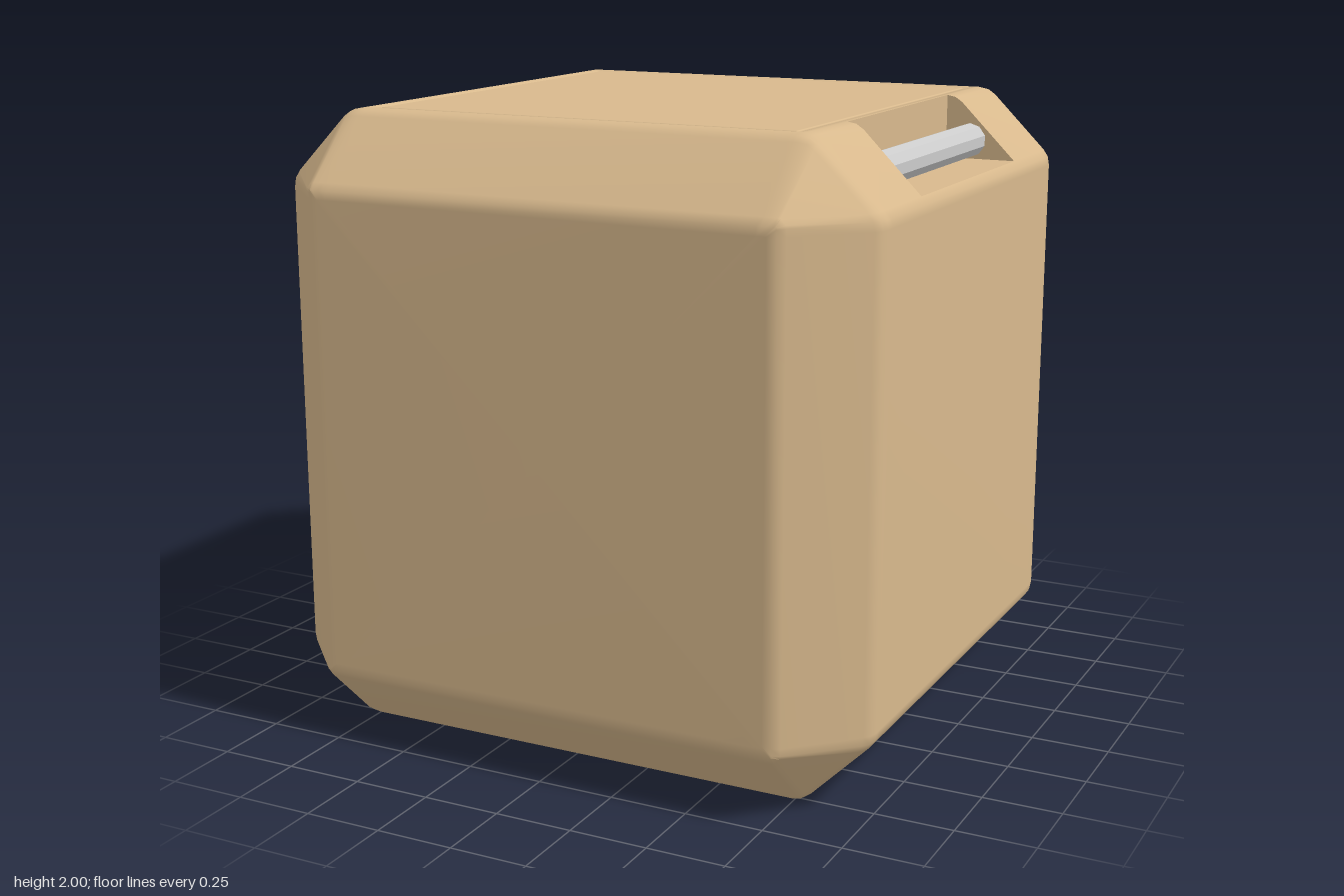
import * as THREE from 'three';
import { RoundedBoxGeometry } from 'three/addons/geometries/RoundedBoxGeometry.js';

const CHAMFER = 0.775;   // where the edge bevels begin
const SOFT = 0.03;       // softening of each bevel edge
const NOTCH_X = 0.745, NOTCH_Z = 0.432;
const RIM = 0.728, LID = 0.712;

const tan = new THREE.MeshStandardMaterial({ color: 0xd8b98d });
const metal = new THREE.MeshStandardMaterial({ color: 0xcccccc, flatShading: true });

// Softened bevel from the side (x = a) to the top (y = a)
function bevel(a) {
  const c = Math.min(CHAMFER, a);
  const q = SOFT * 0.7 * (a - c) / (1 - CHAMFER);
  const side = [a, c - SOFT], slope = [a - q, c + q];
  const mid = [0, 1].map(k => 0.25 * side[k] + 0.5 * [a, c][k] + 0.25 * slope[k]);
  const lower = [side, mid, slope];
  return [...lower, ...lower.map(([x, y]) => [y, x]).reverse()];
}

// Cross-section of the body: a = half size, recess 0..2 = depth stage of the lid opening
function section(a, notched, recess) {
  const top = bevel(a);
  const bottom = bevel(a).reverse().map(([x, y]) => [x, -y]);
  if (notched) top[3] = top[4] = [NOTCH_X, top[2][1]];
  const limit = top[5][0];
  const right = [
    ...bottom, ...top,
    [Math.min(RIM, limit), a],
    [Math.min(LID, limit), a - (recess > 0 ? 0.01 : 0)],
    [Math.min(LID, limit), a - [0, 0.01, 0.05][recess]],
  ];
  return [...right, ...right.map(([x, y]) => [-x, y]).reverse()];
}

// Area-weighted normals that stay sharp at edges steeper than the crease angle
function smoothFaces(tris, crease) {
  const faces = [], shared = new Map();
  const key = p => p.toArray().map(v => Math.round(v * 1e4)).join();
  for (const t of tris) {
    const n = t[1].clone().sub(t[0]).cross(t[2].clone().sub(t[0]));
    if (n.length() < 1e-7) continue;
    const face = { t, n, unit: n.clone().normalize() };
    faces.push(face);
    for (const p of t) shared.set(key(p), [...(shared.get(key(p)) || []), face]);
  }
  const pos = [], nor = [];
  for (const f of faces) for (const p of f.t) {
    const sum = new THREE.Vector3();
    for (const g of shared.get(key(p))) if (g.unit.dot(f.unit) > Math.cos(crease)) sum.add(g.n);
    pos.push(...p.toArray());
    nor.push(...sum.normalize().toArray());
  }
  const geo = new THREE.BufferGeometry();
  geo.setAttribute('position', new THREE.Float32BufferAttribute(pos, 3));
  geo.setAttribute('normal', new THREE.Float32BufferAttribute(nor, 3));
  return geo;
}

// Sections lofted from front to back; repeated z values make the notch and recess walls
function bodyGeometry() {
  const front = [
    ...bevel(1).map(([z, a]) => [z, a, false, 0]),
    [RIM, 1, false, 0], [LID, 1, false, 1], [LID, 1, false, 2],
    [NOTCH_Z, 1, false, 2], [NOTCH_Z, 1, true, 2],
  ];
  const stations = [...front, ...front.map(([z, ...rest]) => [-z, ...rest]).reverse()];
  const rings = stations.map(([z, a, notched, recess]) =>
    section(a, notched, recess).map(([x, y]) => new THREE.Vector3(x, y + 1, z)));
  const tris = [];
  const n = rings[0].length, last = rings[rings.length - 1];
  const frontCentre = new THREE.Vector3(0, 1, 1), backCentre = new THREE.Vector3(0, 1, -1);
  for (let j = 0; j < n; j++) {
    const k = (j + 1) % n;
    for (let i = 0; i + 1 < rings.length; i++) {
      const r = rings[i], s = rings[i + 1];
      tris.push([r[j], s[j], r[k]], [r[k], s[j], s[k]]);
    }
    tris.push([frontCentre, rings[0][j], rings[0][k]], [backCentre, last[k], last[j]]);
  }
  return smoothFaces(tris, 0.6);
}

function add(group, name, geometry, material, x, y, z) {
  const mesh = new THREE.Mesh(geometry, material);
  mesh.name = name;
  mesh.position.set(x, y, z);
  group.add(mesh);
  return mesh;
}

export function createModel() {
  const model = new THREE.Group();
  model.name = 'crate';

  // Bevelled box with handle notches and lid opening
  add(model, 'body', bodyGeometry(), tan, 0, 0, 0);

  // Lid set flush in the top
  add(model, 'lid', new RoundedBoxGeometry(1.41, 0.06, 1.41, 2, 0.006), tan, 0, 1.969, 0);

  // Bar handles across the side notches
  for (const side of [1, -1]) {
    const bar = new THREE.CylinderGeometry(0.055, 0.055, NOTCH_Z * 2, 10);
    const name = side > 0 ? 'leftHandle' : 'rightHandle';
    add(model, name, bar, metal, side * 0.825, 1.857, 0).rotation.x = Math.PI / 2;
  }
  return model;
}
